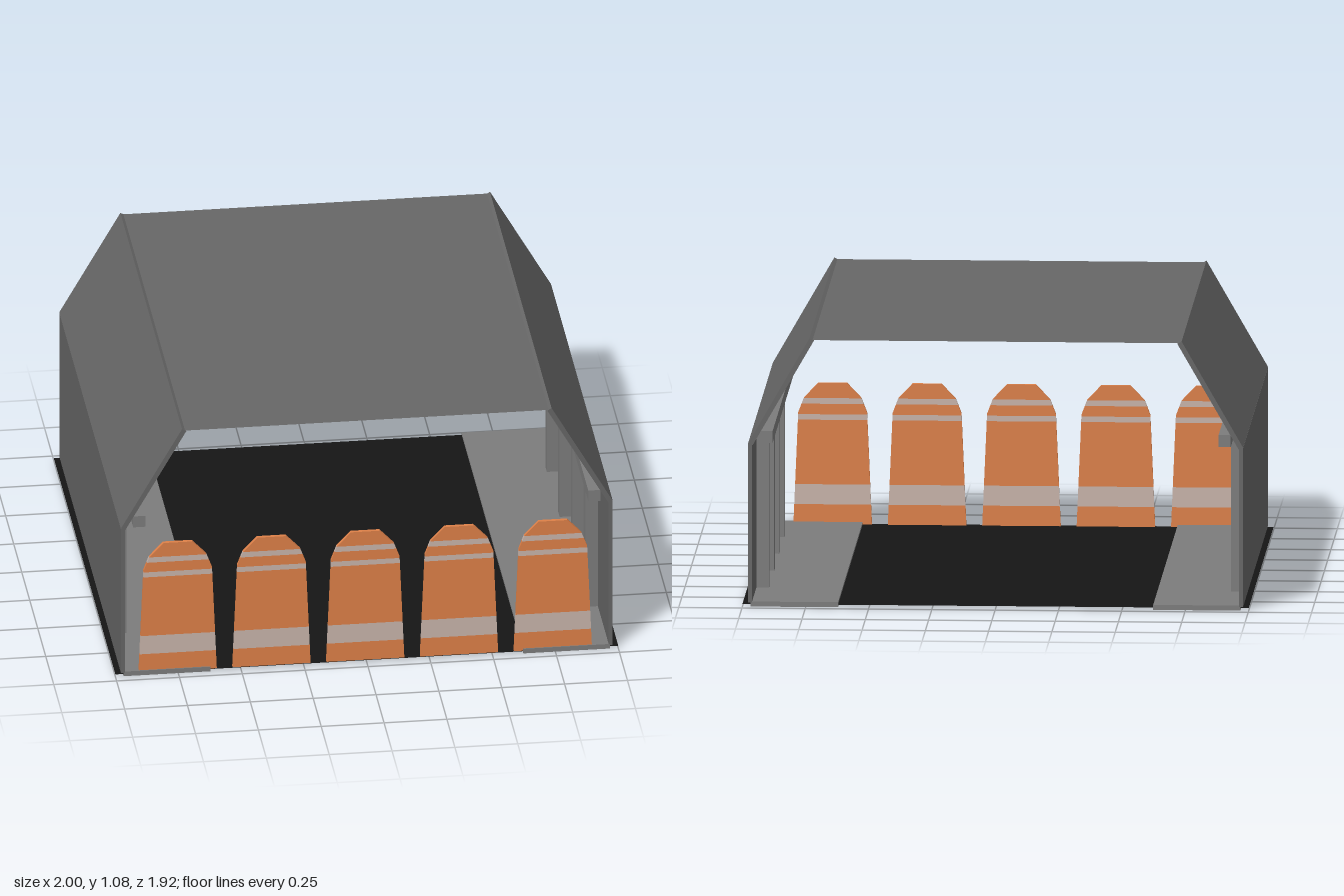
import * as THREE from 'three';

const HALF = 0.962; // half length of the tunnel along z

const paint = (color, side = THREE.FrontSide) => new THREE.MeshStandardMaterial({ color, side });

export function createModel() {
  const model = new THREE.Group();
  const panelGrey = paint(0x666666);
  const frameGrey = paint(0x7c7c7c);
  const orange = paint(0xdd8048);
  const stripe = paint(0xc8b4aa);

  const add = (parent, name, geometry, material, x = 0, y = 0, z = 0) => {
    const mesh = new THREE.Mesh(geometry, material);
    mesh.name = name;
    mesh.position.set(x, y, z);
    parent.add(mesh);
    return mesh;
  };

  // Extrudes an outline in the xy plane, centred on z = 0
  const slab = (points, depth) => {
    const shape = new THREE.Shape(points.map(([x, y]) => new THREE.Vector2(x, y)));
    return new THREE.ExtrudeGeometry(shape, { depth, bevelEnabled: false }).translate(0, 0, -depth / 2);
  };

  // Thin floor and flat roof
  const floor = new THREE.PlaneGeometry(2, 2 * HALF).rotateX(-Math.PI / 2);
  add(model, 'floor', floor, paint(0x151515, THREE.DoubleSide), 0, 0.01);
  const roof = new THREE.PlaneGeometry(1.46, 2 * HALF).rotateX(-Math.PI / 2);
  add(model, 'roof', roof, paint(0x666666, THREE.DoubleSide), 0, 1.068);

  // Both sides: wall, sloping panel, walkway, rail and posts
  for (const s of [1, -1]) {
    const side = new THREE.Group();
    side.name = s > 0 ? 'leftSide' : 'rightSide';
    model.add(side);

    add(side, 'wall', new THREE.BoxGeometry(0.016, 0.635, 2 * HALF), panelGrey, s * 0.97, 0.3325);
    const slope = [[0.978, 0.652], [0.735, 1.075], [0.718, 1.065], [0.96, 0.645]];
    add(side, 'slopingPanel', slab(slope.map(([x, y]) => [s * x, y]), 2 * HALF), panelGrey);
    add(side, 'walkway', new THREE.BoxGeometry(0.345, 0.02, 2 * HALF), frameGrey, s * 0.795, 0.01);
    add(side, 'rail', new THREE.BoxGeometry(0.048, 0.048, 2 * HALF), frameGrey, s * 0.905, 0.678);
    for (const z of [-0.6, -0.2, 0.2, 0.6]) {
      add(side, 'post', new THREE.BoxGeometry(0.05, 0.63, 0.05), frameGrey, s * 0.937, 0.335, z);
    }
  }

  // Barrier outline: half width at each height
  const outline = [[0.01, 0.155], [0.457, 0.136], [0.515, 0.114], [0.575, 0.057]];
  const halfWidth = (y) => {
    const i = Math.max(1, outline.findIndex(([h]) => h >= y));
    const [y0, w0] = outline[i - 1];
    const [y1, w1] = outline[i];
    return w0 + (w1 - w0) * (y - y0) / (y1 - y0);
  };

  // Alternating orange and pale bands, cut from the outline
  const cuts = [0.01, 0.09, 0.17, 0.428, 0.45, 0.492, 0.515, 0.575];
  const bands = cuts.slice(1).map((top, i) => {
    const bottom = cuts[i];
    const inner = outline.map(([y]) => y).filter((y) => y > bottom && y < top);
    const levels = [bottom, ...inner, top];
    const right = levels.map((y) => [halfWidth(y), y]);
    const left = levels.map((y) => [-halfWidth(y), y]).reverse();
    return slab([...right, ...left], 0.015);
  });

  // Row of five barriers across the front
  for (let i = -2; i <= 2; i++) {
    const barrier = new THREE.Group();
    barrier.name = 'barrier';
    barrier.position.set(-0.005 + i * 0.373, 0, 0.95);
    bands.forEach((geometry, k) => {
      add(barrier, k % 2 ? 'paleBand' : 'orangeBand', geometry, k % 2 ? stripe : orange);
    });
    model.add(barrier);
  }

  return model;
}
